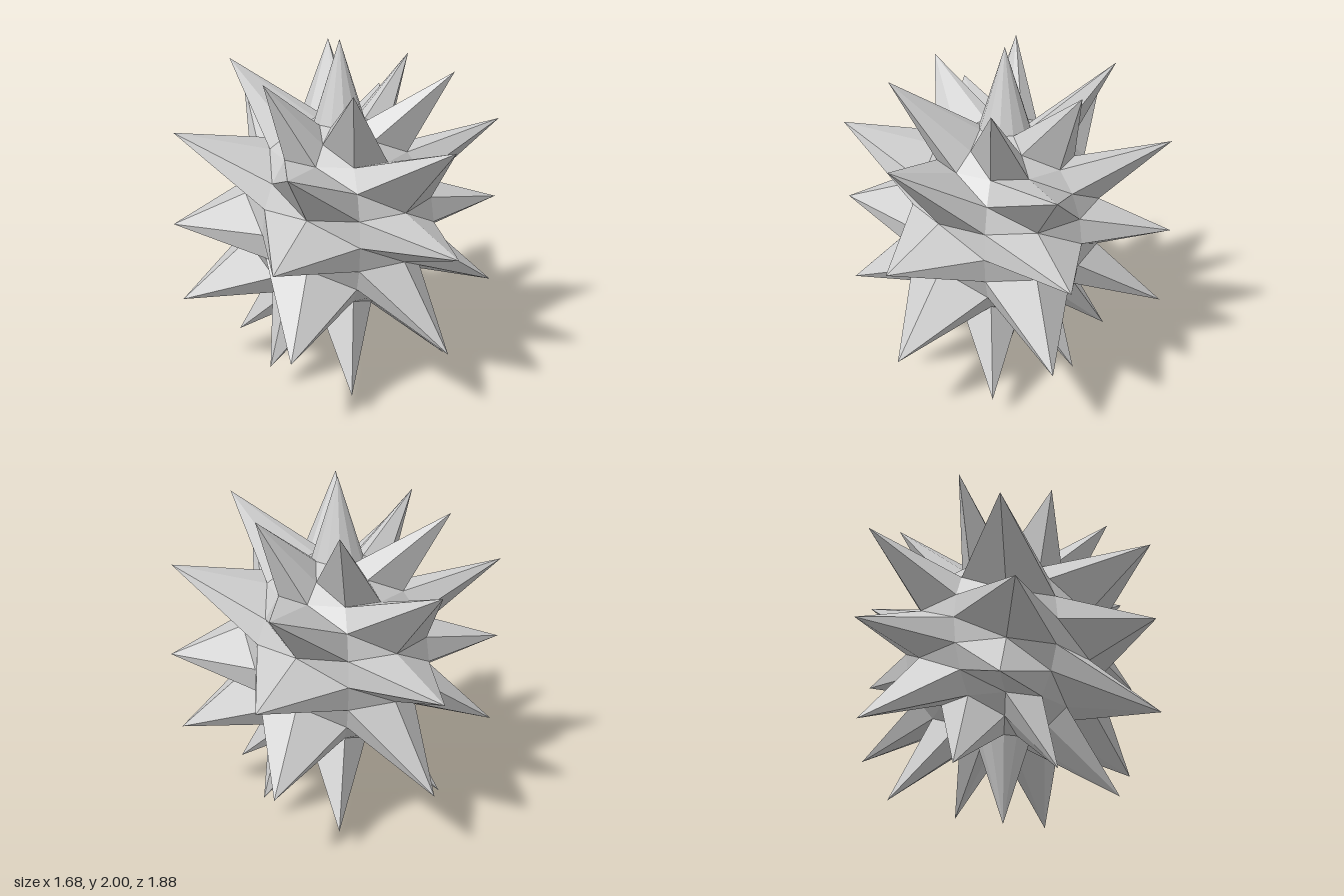
import * as THREE from 'three';

const SEGMENTS = 12;
const RINGS = 12;

// Spike tips by distance (in rings) from the equator: side spikes lie in the
// x direction of their ring, axis spikes lie on the x = 0 or z = 0 plane.
const SPIKES = {
  0: { odd: 1, axis: [0, 0, 0.94], side: [0.84, 0, 0.45] },
  2: { odd: 1, axis: [0, 0.575, 0.89], side: [0.775, 0.51, 0.5] },
  4: { odd: 0, axis: [0.53, 0.84, 0], side: [0.365, 0.858, 0.52] },
};

export function createModel() {
  const group = new THREE.Group();

  // Ball whose alternate grid points are pulled out into spikes
  const ball = new THREE.SphereGeometry(0.56, SEGMENTS, RINGS);
  const pos = ball.attributes.position;
  for (let i = 0; i < pos.count; i++) {
    const ring = Math.floor(i / (SEGMENTS + 1));
    const column = i % (SEGMENTS + 1);
    const level = RINGS / 2 - ring;
    const x = pos.getX(i), z = pos.getZ(i);

    // Pole spikes
    if (Math.abs(level) === RINGS / 2) {
      pos.setXYZ(i, 0, Math.sign(level), 0);
      continue;
    }

    // Six spikes on every second ring
    const spike = SPIKES[Math.abs(level)];
    if (!spike || column % 2 !== spike.odd) continue;
    const onAxis = Math.abs(x) < 1e-4 || Math.abs(z) < 1e-4;
    const tip = onAxis ? spike.axis : spike.side;
    pos.setXYZ(i, Math.sign(x) * tip[0], Math.sign(level) * tip[1], Math.sign(z) * tip[2]);
  }

  const geometry = ball.toNonIndexed();
  geometry.computeVertexNormals();
  const material = new THREE.MeshStandardMaterial({ color: 0xcccccc, flatShading: true });
  const mesh = new THREE.Mesh(geometry, material);
  mesh.name = 'spikedBall';
  mesh.position.y = 1;
  group.add(mesh);
  return group;
}
